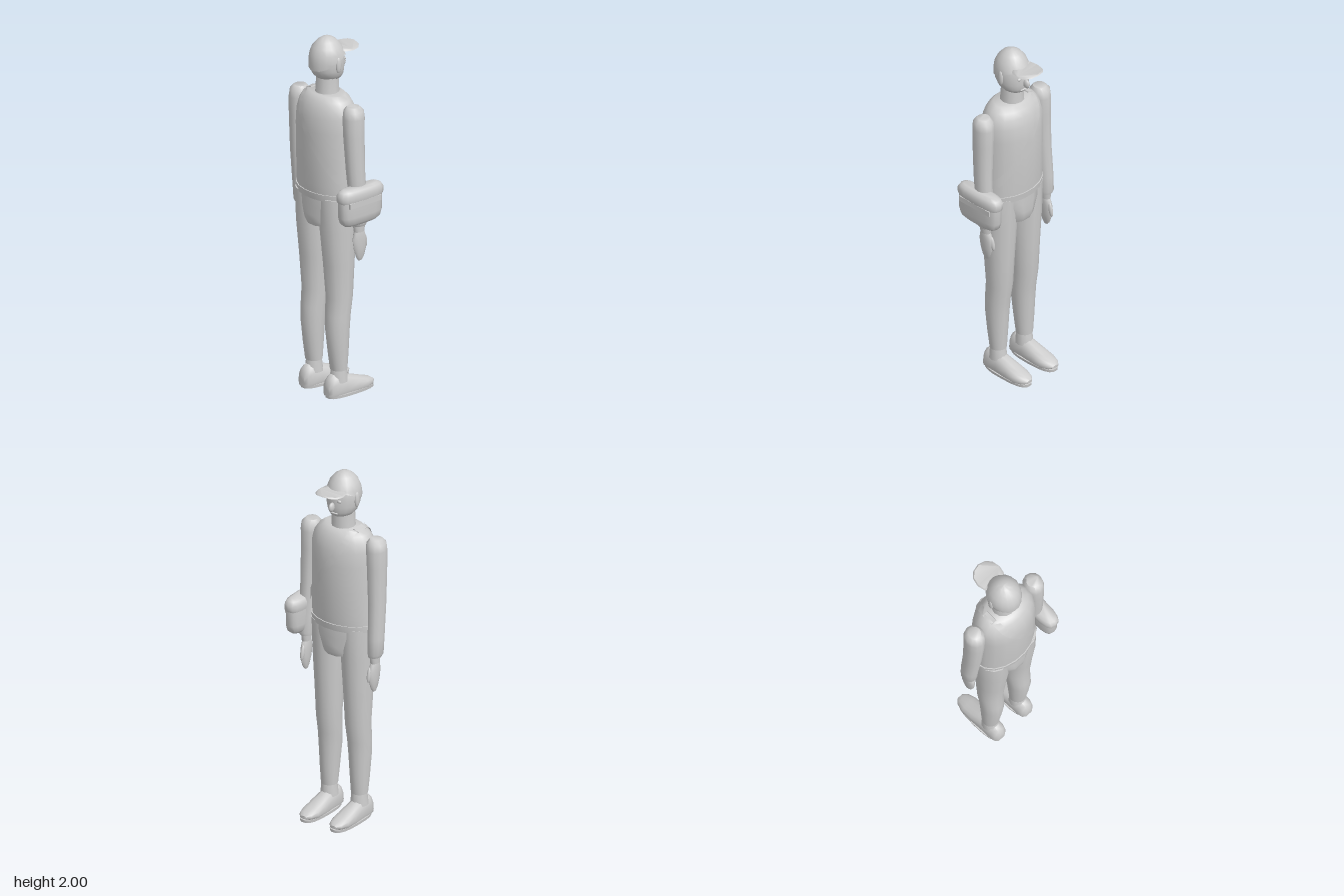
import * as THREE from 'three';
import { toCreasedNormals } from 'three/addons/utils/BufferGeometryUtils.js';

const MID = -0.013; // body midline in x
const BODY_Z = 0.04; // body centre in z

// Closed skin over ascending rings [y, cx, cz, rx, rz]; p < 1 squares the section.
function loft(rings, seg = 16, p = 1, rule = null, crease = 0.9) {
  const pos = [], idx = [];
  const bend = (v) => Math.sign(v) * Math.pow(Math.abs(v), p);
  for (const [y, cx, cz, rx, rz] of rings) {
    for (let i = 0; i < seg; i++) {
      const a = (i / seg) * Math.PI * 2;
      const v = new THREE.Vector3(cx + rx * bend(Math.cos(a)), y, cz - rz * bend(Math.sin(a)));
      if (rule) rule(v);
      pos.push(v.x, v.y, v.z);
    }
  }
  const last = (rings.length - 1) * seg;
  for (let r = 0; r < last; r += seg) {
    for (let i = 0; i < seg; i++) {
      const j = (i + 1) % seg;
      idx.push(r + i, r + j, r + seg + i, r + j, r + seg + j, r + seg + i);
    }
  }
  for (let i = 1; i < seg - 1; i++) {
    idx.push(0, i + 1, i, last, last + i, last + i + 1);
  }
  const g = new THREE.BufferGeometry();
  g.setAttribute('position', new THREE.Float32BufferAttribute(pos, 3));
  g.setIndex(idx);
  return toCreasedNormals(g, crease);
}

// Torso profile [y, rx, rz], shared by the sweater and the strap
const TORSO = [[1.12, 0.187, 0.122], [1.2, 0.188, 0.13], [1.35, 0.186, 0.137], [1.5, 0.187, 0.14],
  [1.58, 0.185, 0.134], [1.63, 0.173, 0.12], [1.665, 0.15, 0.102], [1.69, 0.118, 0.078]];

function torsoRadii(y) {
  let k = 0;
  while (k < TORSO.length - 2 && y > TORSO[k + 1][0]) k++;
  const [a, b] = [TORSO[k], TORSO[k + 1]];
  const t = THREE.MathUtils.clamp((y - a[0]) / (b[0] - a[0]), 0, 1);
  return [a[1] + (b[1] - a[1]) * t, a[2] + (b[2] - a[2]) * t];
}

// Strap ribbon lying on the torso; side is +1 for the back and -1 for the front
function strapGeometry(side) {
  const path = new THREE.CatmullRomCurve3([[-0.112, 1.69], [-0.095, 1.63], [-0.02, 1.51], [0.08, 1.365], [0.168, 1.235]]
    .map(([x, y]) => new THREE.Vector3(x, y, 0)));
  const pos = [], idx = [], n = 24;
  for (let i = 0; i <= n; i++) {
    const c = path.getPoint(i / n), t = path.getTangent(i / n);
    for (const w of [-0.018, 0, 0.018]) {
      const x = c.x - t.y * w, y = c.y + t.x * w;
      const [rx, rz] = torsoRadii(y);
      const u = Math.min(1, Math.abs(x - MID) / (rx + 0.006));
      pos.push(x, y, BODY_Z + side * (rz + 0.006) * Math.sqrt(1 - u * u));
    }
  }
  for (let i = 0; i < n; i++) {
    for (let k = 0; k < 2; k++) {
      const a = i * 3 + k;
      idx.push(a, a + 3, a + 1, a + 1, a + 3, a + 4);
    }
  }
  if (side < 0) idx.reverse();
  const g = new THREE.BufferGeometry();
  g.setAttribute('position', new THREE.Float32BufferAttribute(pos, 3));
  g.setIndex(idx);
  g.computeVertexNormals();
  return g;
}

export function createModel() {
  const model = new THREE.Group();
  const grey = new THREE.MeshStandardMaterial({ name: 'grey', color: 0xcccccc });
  const greySheet = new THREE.MeshStandardMaterial({ name: 'greySheet', color: 0xcccccc, side: THREE.DoubleSide });

  const add = (name, geometry, material = grey) => {
    const mesh = new THREE.Mesh(geometry, material);
    mesh.name = name;
    model.add(mesh);
    return mesh;
  };
  const ellipsoid = (name, x, y, z, rx, ry, rz) => {
    const mesh = add(name, new THREE.SphereGeometry(1, 12, 10));
    mesh.position.set(x, y, z);
    mesh.scale.set(rx, ry, rz);
    return mesh;
  };
  const ring = (y, rx, rz, cz = BODY_Z) => [y, MID, cz, rx, rz];

  // Torso, belt band and pelvis
  add('torso', loft(TORSO.map(([y, rx, rz]) => ring(y, rx, rz)), 18));
  add('belt', loft([ring(1.118, 0.192, 0.126), ring(1.155, 0.193, 0.131)], 18));
  add('pelvis', loft([ring(0.96, 0.085, 0.108), ring(0.985, 0.092, 0.12), ring(1.02, 0.105, 0.123),
    ring(1.07, 0.13, 0.123), ring(1.13, 0.14, 0.123)], 14, 0.8));

  // Neck and head
  add('neck', loft([ring(1.66, 0.07, 0.07, 0.038), ring(1.7, 0.064, 0.064, 0.036), ring(1.79, 0.062, 0.06, 0.034)], 12));
  add('head', loft([ring(1.755, 0.03, 0.04, 0.015), ring(1.768, 0.06, 0.068, 0.022), ring(1.79, 0.077, 0.084, 0.03),
    ring(1.82, 0.085, 0.094, 0.036), ring(1.87, 0.09, 0.098, 0.04), ring(1.92, 0.083, 0.09, 0.04),
    ring(1.96, 0.063, 0.067, 0.04), ring(1.985, 0.035, 0.038, 0.04)], 18));

  // Cap crown with a rim rising towards the face, and its visor
  add('capCrown', loft([ring(1.825, 0.091, 0.1), ring(1.87, 0.093, 0.101), ring(1.91, 0.088, 0.095), ring(1.945, 0.075, 0.08),
    ring(1.975, 0.051, 0.055), ring(1.992, 0.027, 0.03), ring(2, 0.002, 0.002)], 18, 1,
  (v) => { v.y = Math.max(v.y, 1.87 - (v.z - BODY_Z) * 0.45); }));
  add('capVisor', loft([ring(1.915, 0.072, 0.074, -0.075), ring(1.92, 0.08, 0.082, -0.075), ring(1.926, 0.074, 0.076, -0.075)],
    12, 0.9, (v) => { v.y -= Math.pow((v.x - MID) / 0.08, 2) * 0.012; }));

  // Face
  ellipsoid('nose', MID, 1.825, -0.068, 0.013, 0.026, 0.023);
  ellipsoid('mouth', MID, 1.786, -0.051, 0.028, 0.005, 0.008);
  for (const s of [-1, 1]) {
    ellipsoid('eye', MID + s * 0.035, 1.86, -0.05, 0.013, 0.009, 0.008);
    ellipsoid('eyebrow', MID + s * 0.036, 1.885, -0.046, 0.017, 0.004, 0.008);
    ellipsoid('ear', MID + s * 0.088, 1.855, 0.035, 0.011, 0.044, 0.017);
  }

  for (const s of [-1, 1]) {
    const at = (y, x, z, rx, rz) => [y, MID + s * x, z, rx, rz];

    // Sleeve, wrist and hand
    add('sleeve', loft([at(0.992, 0.223, 0.012, 0.034, 0.042), at(1.01, 0.226, 0.013, 0.04, 0.048), at(1.1, 0.226, 0.018, 0.042, 0.05),
      at(1.3, 0.221, 0.034, 0.046, 0.054), at(1.5, 0.215, 0.04, 0.052, 0.06), at(1.6, 0.213, 0.04, 0.055, 0.062),
      at(1.64, 0.212, 0.04, 0.052, 0.056), at(1.662, 0.21, 0.04, 0.034, 0.036)], 12));
    add('wrist', loft([at(0.955, 0.224, 0.012, 0.022, 0.032), at(1.0, 0.224, 0.012, 0.025, 0.038)], 12));
    add('hand', loft([at(0.79, 0.223, 0.006, 0.006, 0.012), at(0.81, 0.223, 0.005, 0.012, 0.026), at(0.86, 0.223, 0.005, 0.018, 0.042),
      at(0.91, 0.223, 0.008, 0.02, 0.046), at(0.945, 0.223, 0.011, 0.02, 0.036), at(0.965, 0.223, 0.012, 0.018, 0.026)], 12));
    const thumb = ellipsoid('thumb', MID + s * 0.218, 0.895, -0.033, 0.011, 0.042, 0.013);
    thumb.rotation.x = 0.2;

    // Trouser leg and ankle
    add('leg', loft([at(0.148, 0.098, 0.043, 0.046, 0.046), at(0.25, 0.098, 0.047, 0.053, 0.057), at(0.38, 0.097, 0.051, 0.061, 0.068),
      at(0.46, 0.096, 0.047, 0.065, 0.07), at(0.56, 0.095, 0.036, 0.069, 0.074), at(0.75, 0.094, 0.039, 0.078, 0.087),
      at(0.95, 0.093, 0.043, 0.09, 0.103), at(1.13, 0.094, 0.043, 0.093, 0.108)], 14));
    add('ankle', loft([at(0.08, 0.098, 0.043, 0.048, 0.052), at(0.152, 0.098, 0.043, 0.042, 0.042)], 12));

    // Shoe: sections run from heel to toe, flattened underneath
    const section = (z, top, rx) => [-z, MID + s * 0.098, 0.03, rx, top - 0.03];
    const shoe = loft([section(0.128, 0.075, 0.022), section(0.115, 0.108, 0.04), section(0.09, 0.128, 0.047),
      section(0.02, 0.115, 0.049), section(-0.06, 0.088, 0.055), section(-0.12, 0.066, 0.054),
      section(-0.165, 0.052, 0.04), section(-0.187, 0.038, 0.02)], 14, 0.85, (v) => { v.z = Math.max(v.z, 0.014); });
    add('shoe', shoe.rotateX(-Math.PI / 2));
    add('sole', loft([at(0, 0.098, -0.032, 0.053, 0.155), at(0.016, 0.098, -0.032, 0.055, 0.157)], 18, 0.75));
  }

  // Shoulder bag with an overhanging flap
  const bag = (y, rx, rz) => [y, 0.235, 0.027, rx, rz];
  add('bagBody', loft([bag(1.018, 0.026, 0.105), bag(1.035, 0.04, 0.128), bag(1.07, 0.046, 0.138), bag(1.17, 0.046, 0.14)], 16, 0.65));
  add('bagFlap', loft([bag(1.155, 0.047, 0.143), bag(1.168, 0.05, 0.148), bag(1.195, 0.05, 0.148),
    bag(1.215, 0.042, 0.136), bag(1.225, 0.025, 0.115)], 16, 0.65));
  const frontPanel = add('bagPanel', new THREE.BoxGeometry(0.008, 0.03, 0.22));
  frontPanel.position.set(0.279, 1.143, 0.027);

  // Cross-body strap, front and back, joined by a loop over the shoulder
  add('strapBack', strapGeometry(1), greySheet);
  add('strapFront', strapGeometry(-1), greySheet);
  const loop = add('strapShoulder', new THREE.BoxGeometry(0.034, 0.008, 0.07));
  loop.position.set(-0.115, 1.687, BODY_Z);
  loop.rotation.z = 0.35;

  return model;
}
